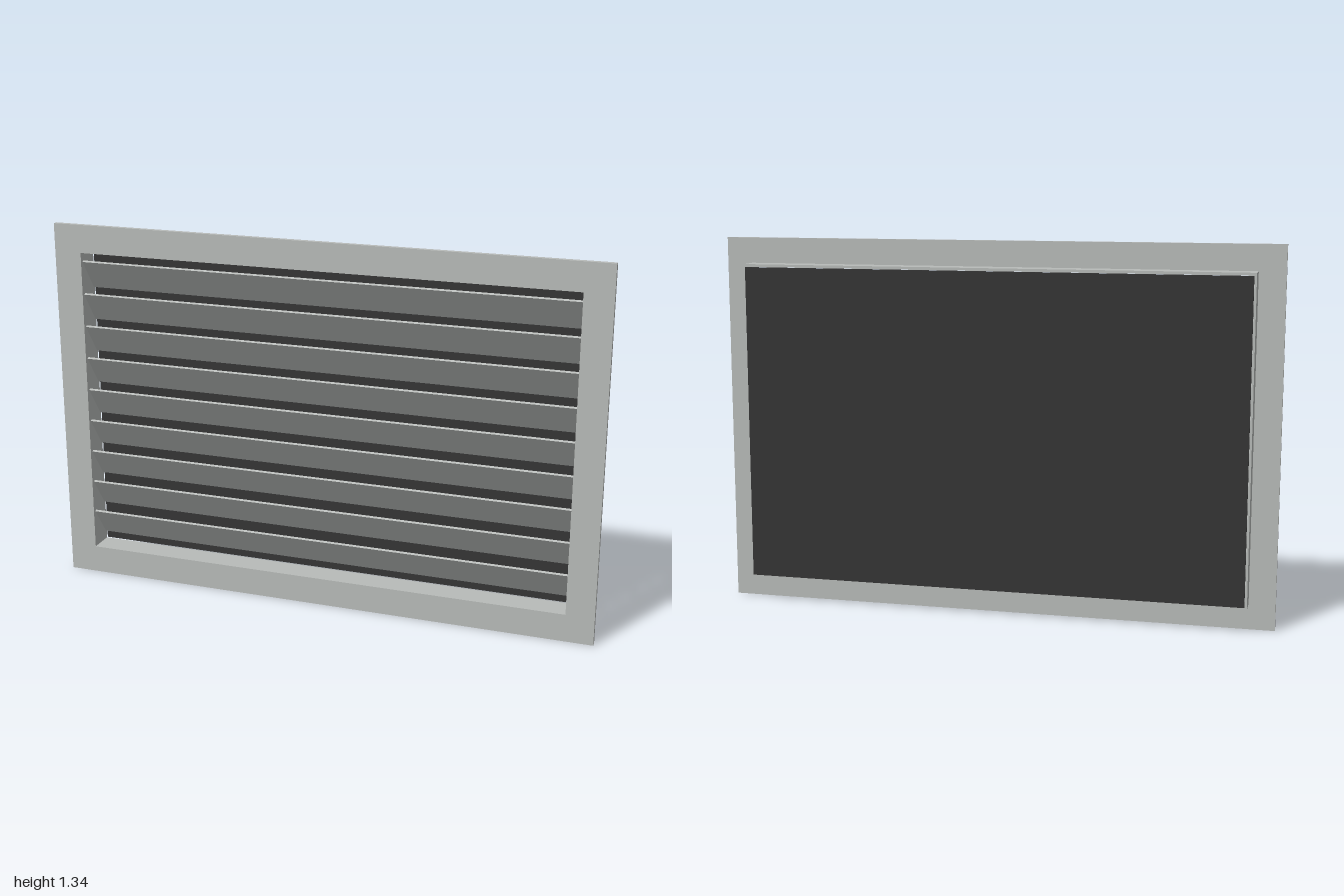
import * as THREE from 'three';

const HEIGHT = 1.336, MID = HEIGHT / 2;
const OPEN_X = 0.899, OPEN_Y = 0.567; // half size of the opening

// Rectangular ring around the opening, running from zBack to zFront
function ring(name, halfX, halfY, zBack, zFront, material) {
  const rect = (Type, x, y) => new Type([
    new THREE.Vector2(-x, -y), new THREE.Vector2(x, -y),
    new THREE.Vector2(x, y), new THREE.Vector2(-x, y),
  ]);
  const shape = rect(THREE.Shape, halfX, halfY);
  shape.holes.push(rect(THREE.Path, OPEN_X, OPEN_Y));
  const geometry = new THREE.ExtrudeGeometry(shape, { depth: zFront - zBack, bevelEnabled: false });
  const mesh = new THREE.Mesh(geometry, material);
  mesh.name = name;
  mesh.position.set(0, MID, zBack);
  return mesh;
}

export function createModel() {
  const group = new THREE.Group();
  group.name = 'louvreVent';

  const metal = new THREE.MeshStandardMaterial({ color: 0xb8bbb9 });
  metal.name = 'light grey metal';
  const dark = new THREE.MeshStandardMaterial({ color: 0x353535 });
  dark.name = 'dark mesh';

  // Flat face flange and the sleeve behind it
  group.add(ring('faceFrame', 1, MID, 0.035, 0.053, metal));
  group.add(ring('sleeve', 0.907, 0.577, -0.041, 0.035, metal));

  // Slanted blades: upper edge at the front, lower edge at the back
  const blades = new THREE.Group();
  blades.name = 'blades';
  const bladeGeometry = new THREE.BoxGeometry(OPEN_X * 2, 0.132, 0.008);
  for (let i = 0; i < 9; i++) {
    const blade = new THREE.Mesh(bladeGeometry, metal);
    blade.name = 'blade';
    blade.position.set(0, MID + (i - 4) * 0.12, 0);
    blade.rotation.x = THREE.MathUtils.degToRad(35);
    blades.add(blade);
  }
  group.add(blades);

  // Dark screen closing the back
  const screen = new THREE.Mesh(new THREE.BoxGeometry(OPEN_X * 2, OPEN_Y * 2, 0.006), dark);
  screen.name = 'backScreen';
  screen.position.set(0, MID, -0.05);
  group.add(screen);

  return group;
}
